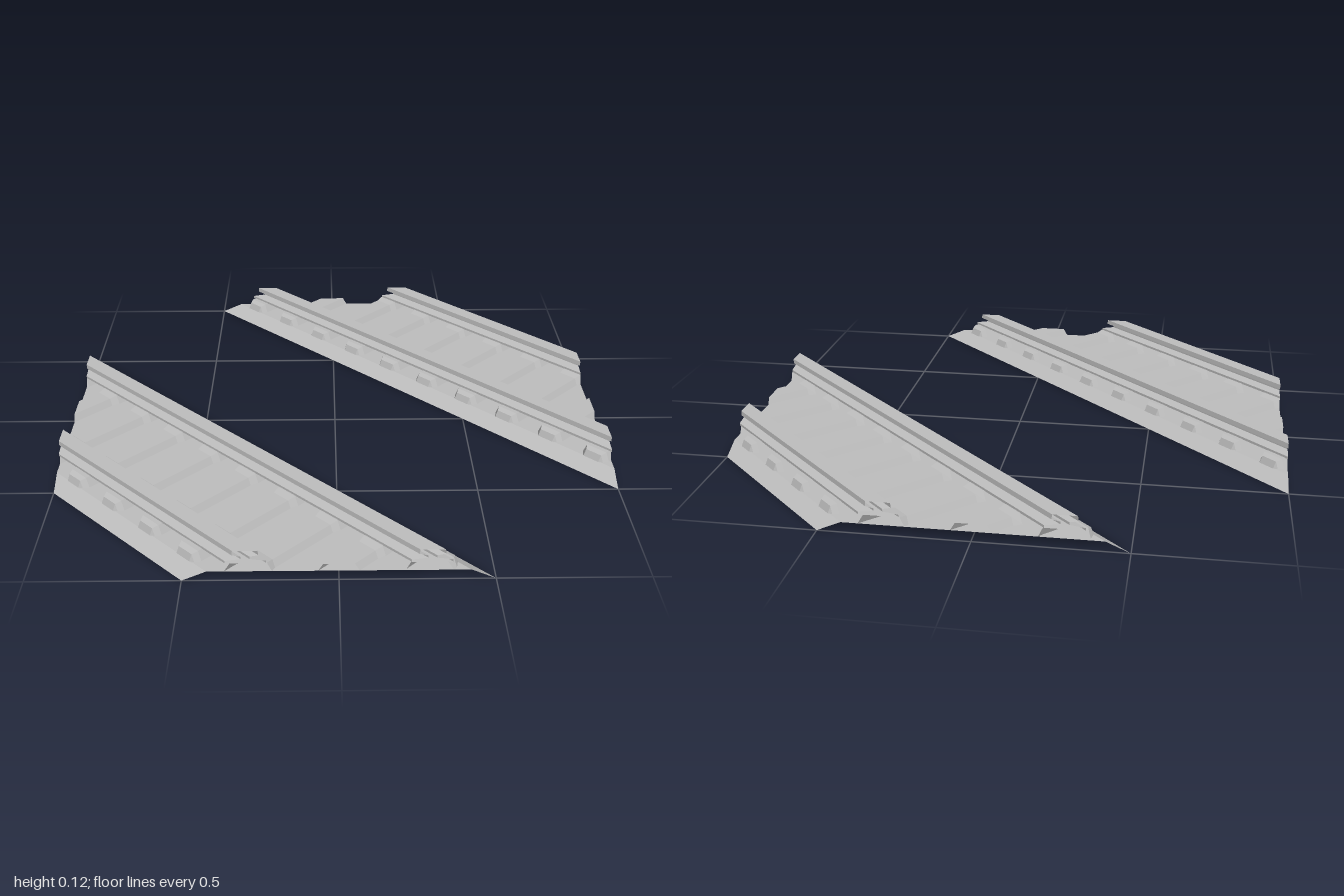
import * as THREE from 'three';

// Track coordinates: q runs across both tracks, s runs along them (diagonally).
const place = (q, y, s) => new THREE.Vector3((s + q) / 2, y, (s - q) / 2);

// Cuts a convex polygon against the square tile |x| <= 1, |z| <= 1.
function clipToTile(poly) {
  for (const axis of ['x', 'z']) {
    for (const sign of [1, -1]) {
      const out = [];
      poly.forEach((a, i) => {
        const b = poly[(i + 1) % poly.length];
        const da = 1 - sign * a[axis], db = 1 - sign * b[axis];
        if (da >= 0) out.push(a);
        if ((da >= 0) !== (db >= 0)) out.push(a.clone().lerp(b, da / (da - db)));
      });
      poly = out;
    }
  }
  return poly;
}

// Skins a row of cross-sections with flat faces, trimmed to the tile.
function loft(sections) {
  const pos = [];
  const add = (...tri) => {
    const p = clipToTile(tri);
    for (let i = 1; i + 1 < p.length; i++) {
      for (const v of [p[0], p[i], p[i + 1]]) pos.push(v.x, v.y, v.z);
    }
  };
  for (let i = 0; i + 1 < sections.length; i++) {
    const m = sections[i], n = sections[i + 1];
    for (let j = 0; j + 1 < m.length; j++) {
      add(m[j], n[j], m[j + 1]);
      add(m[j + 1], n[j], n[j + 1]);
    }
  }
  const geo = new THREE.BufferGeometry();
  geo.setAttribute('position', new THREE.Float32BufferAttribute(pos, 3));
  geo.computeVertexNormals();
  return geo;
}

// Runs a (q, y) profile along the whole track.
const sweep = (profile) => loft([-2.2, 2.2].map((s) => profile.map(([q, y]) => place(1 + q, y, s))));

const BED_TOP = 0.035;

// Trapezoid sleeper, wider under the rails: [q, base half width, top half width, top y]
function sleeperGeometry(s) {
  const half = [
    [0.425, 0.05, 0.04, BED_TOP],
    [0.412, 0.06, 0.045, 0.06],
    [0.385, 0.078, 0.058, 0.068],
    [0.225, 0.078, 0.058, 0.068],
    [0.185, 0.066, 0.05, 0.062],
  ];
  const stations = [...half, ...half.map(([q, ...r]) => [-q, ...r]).reverse()];
  return loft(stations.map(([q, base, top, y]) => [
    place(1 + q, BED_TOP, s - base), place(1 + q, y, s - top),
    place(1 + q, y, s + top), place(1 + q, BED_TOP, s + base),
  ]));
}

// Rail section: foot, web and head
function railGeometry(centre) {
  const right = [[0.04, 0.115], [0.042, 0.098], [0.014, 0.092], [0.014, 0.083], [0.065, 0.076], [0.065, 0.067]];
  const left = right.map(([q, y]) => [-q, y]).reverse();
  const loop = [...left, ...right, left[0]];
  return sweep(loop.map(([q, y]) => [q + centre, y]));
}

export function createModel() {
  const grey = new THREE.MeshStandardMaterial({ color: 0xbebebe, side: THREE.DoubleSide, flatShading: true });
  grey.name = 'plain grey';

  const model = new THREE.Group();
  model.name = 'diagonalDoubleTrack';

  for (const [name, turn] of [['rightTrack', 0], ['leftTrack', Math.PI]]) {
    const track = new THREE.Group();
    track.name = name;
    track.rotation.y = turn;
    const add = (part, geo) => {
      const mesh = new THREE.Mesh(geo, grey);
      mesh.name = part;
      track.add(mesh);
    };

    // Open-bottomed ballast bed with sloped shoulders
    add('ballastBed', sweep([[-0.5, 0], [-0.42, BED_TOP], [0.42, BED_TOP], [0.5, 0]]));

    // Two rails
    add('innerRail', railGeometry(-0.295));
    add('outerRail', railGeometry(0.295));

    // Sleepers at an even pitch
    for (let k = -6; k < 6; k++) add('sleeper', sleeperGeometry((k + 0.5) * 2 / 7));

    model.add(track);
  }
  return model;
}
